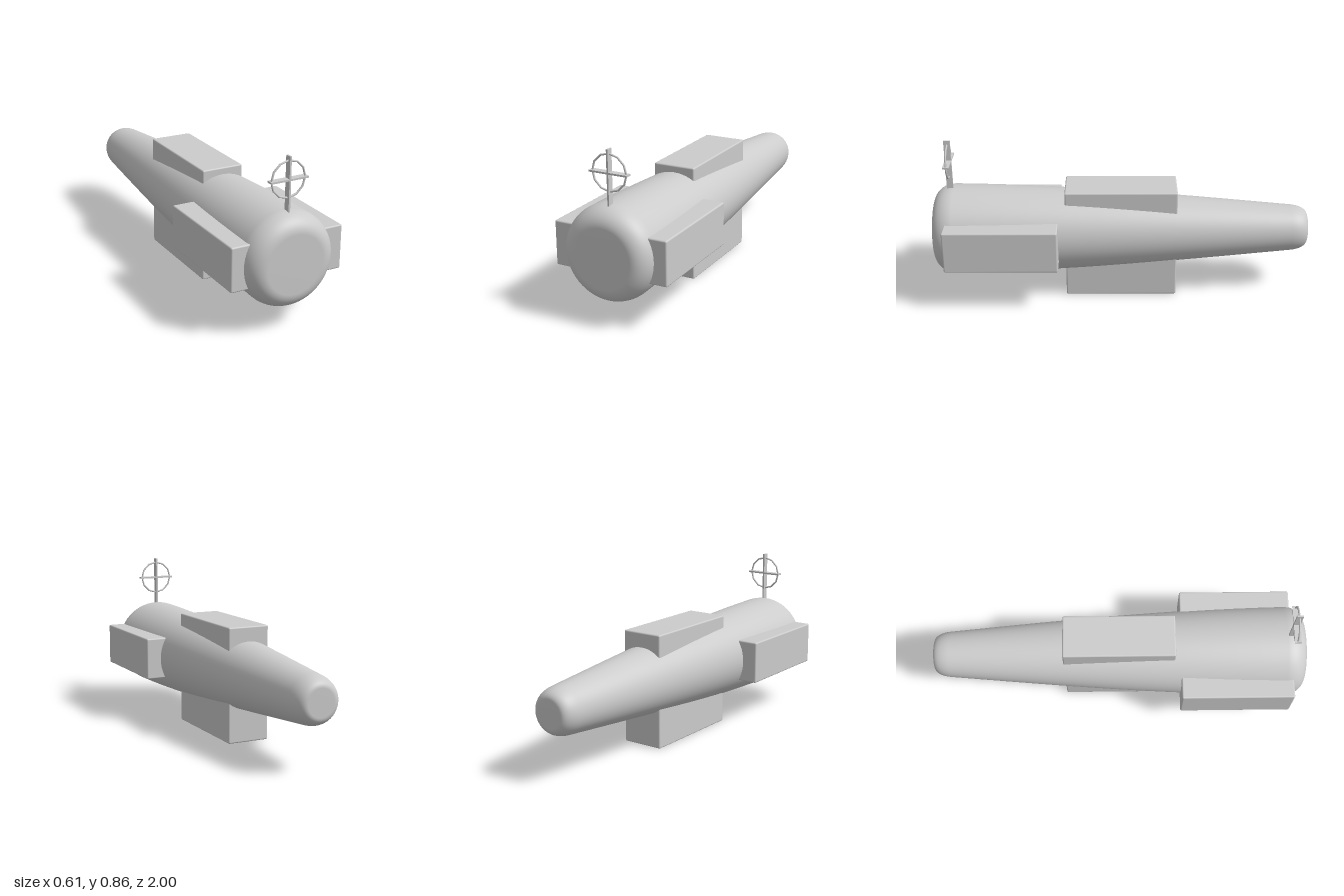
import * as THREE from 'three';
import { RoundedBoxGeometry } from 'three/addons/geometries/RoundedBoxGeometry.js';

const AXIS_Y = 0.352;

export function createModel() {
  const model = new THREE.Group();
  const material = new THREE.MeshStandardMaterial({ color: 0xcccccc });

  function add(name, geometry, x, y, z) {
    const mesh = new THREE.Mesh(geometry, material);
    mesh.name = name;
    mesh.position.set(x, y, z);
    model.add(mesh);
    return mesh;
  }

  // Tapered body: flat rear cap, rounded tail, bulging side, rounded nose, flat front cap
  const profile = new THREE.Path();
  profile.moveTo(0, -1);
  profile.lineTo(0.07, -1);
  profile.bezierCurveTo(0.1, -1, 0.119, -0.965, 0.124, -0.91);
  profile.bezierCurveTo(0.176, -0.33, 0.232, 0.25, 0.241, 0.89);
  profile.bezierCurveTo(0.241, 0.955, 0.2, 1, 0.15, 1);
  profile.lineTo(0, 1);
  const body = new THREE.LatheGeometry(profile.getPoints(14), 56);
  body.rotateX(Math.PI / 2);
  add('body', body, 0, AXIS_Y, 0);

  // Box pods passing through the body: upright pair amidships, sideways pair near the nose
  add('verticalPods', new RoundedBoxGeometry(0.228, 0.608, 0.595, 3, 0.008), 0, 0.304, 0.002);
  add('sidePods', new RoundedBoxGeometry(0.606, 0.228, 0.595, 3, 0.008), 0, 0.356, 0.63);

  // Ring sight on the nose: mast, crossbar and twelve-sided ring
  const sightY = 0.746, sightZ = 0.911;
  add('sightMast', new THREE.BoxGeometry(0.009, 0.3, 0.034), 0, 0.71, sightZ);
  add('sightCrossbar', new THREE.BoxGeometry(0.202, 0.009, 0.034), 0, sightY, sightZ);
  add('sightRing', new THREE.TorusGeometry(0.091, 0.005, 8, 12), 0, sightY, sightZ);

  return model;
}
